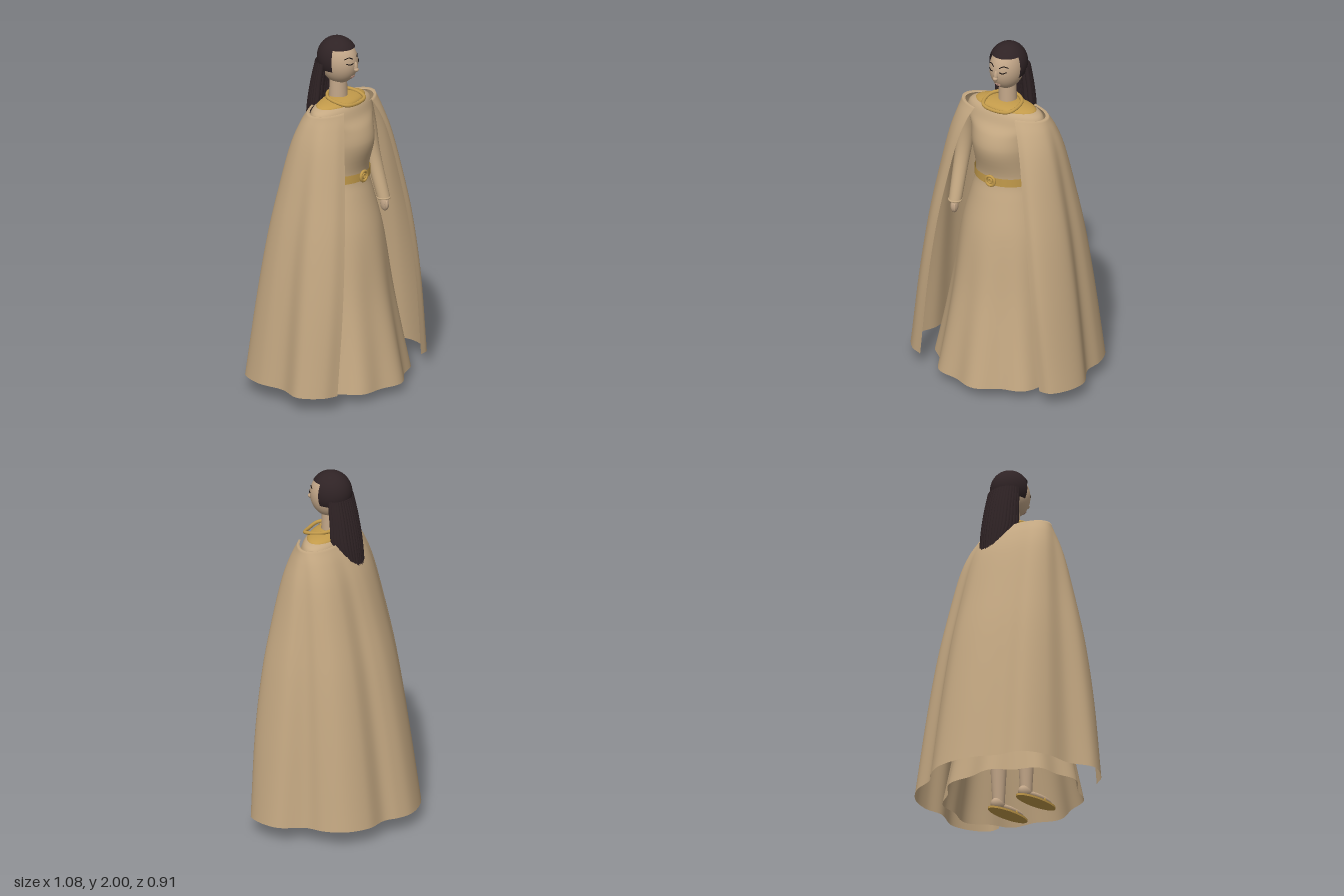
import * as THREE from 'three';

const mat = (name, color, side = THREE.FrontSide) => {
  const m = new THREE.MeshStandardMaterial({ color, side });
  m.name = name;
  return m;
};

// Smooth surface from f(u, v); u runs round the body from +z towards +x, v runs upwards
function surface(nu, nv, f, closed = true) {
  const pos = [], idx = [], cols = closed ? nu : nu + 1;
  for (let j = 0; j <= nv; j++)
    for (let i = 0; i < cols; i++) pos.push(...f(i / nu, j / nv));
  for (let j = 0; j < nv; j++)
    for (let i = 0; i < nu; i++) {
      const a = j * cols + i, b = j * cols + (i + 1) % cols;
      idx.push(a, b, b + cols, a, b + cols, a + cols);
    }
  const g = new THREE.BufferGeometry();
  g.setAttribute('position', new THREE.Float32BufferAttribute(pos, 3));
  g.setIndex(idx);
  g.computeVertexNormals();
  return g;
}

const V = (p) => new THREE.Vector3(...p);
const spline = (pts, closed = false) => new THREE.CatmullRomCurve3(pts.map(V), closed, 'centripetal');
const lerp = THREE.MathUtils.lerp;

export function createModel() {
  const root = new THREE.Group();
  const cloth = mat('cloth', 0xc4a882, THREE.DoubleSide);
  const skin = mat('skin', 0xc2a688);
  const hair = mat('hair', 0x2f2325, THREE.DoubleSide);
  const gold = mat('gold', 0xc29a4a, THREE.DoubleSide);
  const ink = mat('ink', 0x1c1512);
  const lips = mat('lips', 0xa37f70);

  const add = (name, geo, material, p = [0, 0, 0], s = [1, 1, 1], parent = root) => {
    const m = new THREE.Mesh(geo, material);
    m.name = name;
    m.position.set(...p);
    m.scale.set(...s);
    parent.add(m);
    return m;
  };
  const ball = new THREE.SphereGeometry(1, 20, 14);
  const tipBall = new THREE.SphereGeometry(1, 10, 6);
  const tube = (pts, r, closed = false, n = 24) => new THREE.TubeGeometry(spline(pts, closed), n, r, 8, closed);

  // Gown: rows of height, half width, half depth, with folds growing to the hem
  const gown = spline([
    [0.05, 0.395, 0.365], [0.3, 0.345, 0.318], [0.55, 0.303, 0.272], [0.9, 0.25, 0.22],
    [1.1, 0.2, 0.17], [1.2, 0.174, 0.145], [1.26, 0.173, 0.147], [1.41, 0.187, 0.185],
    [1.5, 0.2, 0.165], [1.56, 0.238, 0.128], [1.61, 0.228, 0.108], [1.635, 0.185, 0.09],
    [1.655, 0.06, 0.055],
  ]);
  const gownPoint = (u, v) => {
    const p = gown.getPoint(v), a = u * Math.PI * 2;
    const k = Math.max(0, 1 - p.x / 0.95);
    const fold = 1 + 0.045 * k * (Math.cos(9 * a - 0.8) + 0.4 * Math.cos(4 * a + 0.5));
    return [p.y * fold * Math.sin(a), p.x, 0.07 + p.z * fold * Math.cos(a)];
  };
  add('gown', surface(120, 60, gownPoint), cloth);

  // Cape: wavy hem blended up to a narrow oval at the shoulders, open in front
  const hem = spline([
    [0.39, 0, 0.33], [0.45, 0, 0.325], [0.51, 0, 0.25], [0.54, 0, 0.12], [0.475, 0, -0.02],
    [0.48, 0, -0.13], [0.44, 0, -0.245], [0.335, 0, -0.335], [0.2, 0, -0.365], [0.13, 0, -0.42],
    [0.045, 0, -0.455], [-0.1, 0, -0.44], [-0.215, 0, -0.385], [-0.3, 0, -0.32], [-0.417, 0, -0.27],
    [-0.485, 0, -0.13], [-0.487, 0, 0.03], [-0.54, 0, 0.17], [-0.47, 0, 0.29], [-0.39, 0, 0.33],
  ]);
  const hemPoints = hem.getSpacedPoints(140);
  // Height, spread at sides and back, spread at the front
  const spread = spline([
    [0.08, 1, 1], [0.55, 0.81, 1], [0.9, 0.64, 0.87], [1.15, 0.48, 0.68],
    [1.42, 0.28, 0.4], [1.54, 0.14, 0.2], [1.62, 0, 0],
  ]);
  const capePoint = (u, v) => {
    const lip = v > 0.99;
    const p = spread.getPoint(lip ? 1 : v / 0.975);
    const h = hemPoints[Math.round(u * 140)];
    const a = lerp(0.5, Math.PI * 2 - 0.5, u);
    const w = lip ? 0.93 : 1;
    const topZ = 0.077 + 0.123 * w * Math.cos(a);
    const front = THREE.MathUtils.smoothstep(h.z, -0.1, 0.3);
    return [lerp(0.27 * w * Math.sin(a), h.x, p.y), p.x - (lip ? 0.006 : 0),
      lerp(topZ, h.z, lerp(p.y, p.z, front))];
  };
  add('cape', surface(140, 40, capePoint, false), cloth);

  // Belt with a round buckle
  add('belt', surface(64, 1, (u, v) => {
    const a = u * Math.PI * 2;
    return [0.18 * Math.sin(a), 1.197 + 0.048 * v, 0.07 + 0.153 * Math.cos(a)];
  }), gold);
  add('buckleRing', new THREE.TorusGeometry(0.028, 0.008, 10, 32), gold, [0, 1.222, 0.227]);
  add('buckleCentre', new THREE.TorusGeometry(0.012, 0.005, 8, 24), gold, [0, 1.222, 0.228]);

  // Collar and necklace
  add('collar', new THREE.SphereGeometry(1, 48, 12, 0, Math.PI * 2, 0, Math.PI / 2), gold,
    [0, 1.63, 0.07], [0.19, 0.034, 0.092]);
  add('necklace', tube([
    [0, 1.638, 0.185], [0.08, 1.645, 0.172], [0.103, 1.657, 0.12], [0.09, 1.668, 0.05], [0, 1.672, 0.0],
    [-0.09, 1.668, 0.05], [-0.103, 1.657, 0.12], [-0.08, 1.645, 0.172],
  ], 0.01, true, 64), gold);

  // Neck and head
  add('neck', new THREE.CylinderGeometry(0.046, 0.052, 0.16, 32), skin, [0, 1.715, 0.055]);
  const C = [0, 1.86, 0.06], R = [0.09, 0.125, 0.112];
  add('head', new THREE.SphereGeometry(1, 48, 32), skin, C, R);
  const onFace = (x, y) => [x, y,
    C[2] + 0.001 + R[2] * Math.sqrt(1 - (x / R[0]) ** 2 - ((y - C[1]) / R[1]) ** 2)];
  add('nose', ball, skin, [0, 1.846, 0.17], [0.012, 0.032, 0.014]);
  add('noseTip', ball, skin, [0, 1.832, 0.176], [0.014, 0.012, 0.014]);
  add('upperLip', ball, lips, onFace(0, 1.789), [0.019, 0.004, 0.006]);
  add('lowerLip', ball, lips, onFace(0, 1.781), [0.015, 0.005, 0.006]);

  // Hair cap, side panels and long strands down the back
  const hairC = [0, 1.88, 0.05], hairR = [0.105, 0.12, 0.117];
  add('hairCap', new THREE.SphereGeometry(1, 48, 16, 0, Math.PI * 2, 0, 1), hair, hairC, hairR);
  add('hairSides', new THREE.SphereGeometry(1, 48, 16, Math.PI - 0.28, Math.PI + 0.56, 0.95, 1.15),
    hair, hairC, hairR);
  const strands = new THREE.Group();
  strands.name = 'hairStrands';
  root.add(strands);
  const N = 18;
  for (let layer = 0; layer < 2; layer++)
    for (let i = 0; i <= N; i++) {
      const a = lerp(-1.6, 1.6, i / N), s = Math.sin(a), c = Math.cos(a), k = 1 - 0.25 * layer;
      const end = 1.455 + 0.13 * (1 - c) + 0.018 * Math.sin(i * 2.4 + layer);
      const at = (y, rx, z0, rz) => [rx * k * s, y, z0 - rz * k * c];
      const path = [at(1.86, 0.094, 0.01, 0.065), at(1.74, 0.103, -0.005, 0.08),
        at(1.6, 0.106, -0.022, 0.088), at(end, 0.09, -0.045, 0.078)];
      add('strand', tube(path, 0.015, false, 14), hair, [0, 0, 0], [1, 1, 1], strands);
      add('strandTip', tipBall, hair, path[3], [0.015, 0.022, 0.015], strands);
    }

  // Paired parts
  for (const s of [1, -1]) {
    const side = s > 0 ? 'left' : 'right';
    const arc = (pts, r) => tube(pts.map(([x, y]) => onFace(s * x, y)), r, false, 12);
    add(side + 'Brow', arc([[0.018, 1.896], [0.038, 1.906], [0.06, 1.897]], 0.0028), ink);
    add(side + 'ClosedEye', arc([[0.02, 1.872], [0.037, 1.867], [0.056, 1.874]], 0.003), ink);

    // Arm: sleeve tapering along a curve, cuff and hand
    const arm = spline([[s * 0.2, 1.56, 0.07], [s * 0.255, 1.42, 0.065], [s * 0.275, 1.25, 0.085],
      [s * 0.27, 1.0, 0.165]]);
    add(side + 'Sleeve', surface(24, 24, (u, v) => {
      const p = arm.getPoint(1 - v), a = u * Math.PI * 2, r = lerp(0.036, 0.058, v);
      return [p.x + r * Math.sin(a), p.y, p.z + r * Math.cos(a)];
    }), cloth);
    const cuff = add(side + 'Cuff', new THREE.TorusGeometry(0.034, 0.006, 8, 28), cloth, [s * 0.27, 1.0, 0.165]);
    cuff.rotation.x = Math.PI / 2;
    add(side + 'Hand', ball, skin, [s * 0.27, 0.965, 0.172], [0.02, 0.042, 0.027]);
    add(side + 'Thumb', ball, skin, [s * 0.255, 0.965, 0.195], [0.009, 0.024, 0.01]);

    // Leg, foot and sandal
    add(side + 'Leg', new THREE.CylinderGeometry(0.065, 0.033, 0.6, 24), skin, [s * 0.11, 0.34, 0.065]);
    add(side + 'Foot', ball, skin, [s * 0.112, 0.028, 0.135], [0.036, 0.026, 0.115]);
    add(side + 'Heel', ball, skin, [s * 0.11, 0.04, 0.06], [0.034, 0.04, 0.045]);
    add(side + 'Sole', new THREE.CylinderGeometry(1, 1, 0.012, 40), gold, [s * 0.112, 0.006, 0.135],
      [0.047, 1, 0.14]);
    add(side + 'Strap', new THREE.TorusGeometry(0.035, 0.005, 8, 20, Math.PI), gold,
      [s * 0.112, 0.012, 0.17], [1.05, 0.85, 1]);
  }
  return root;
}
